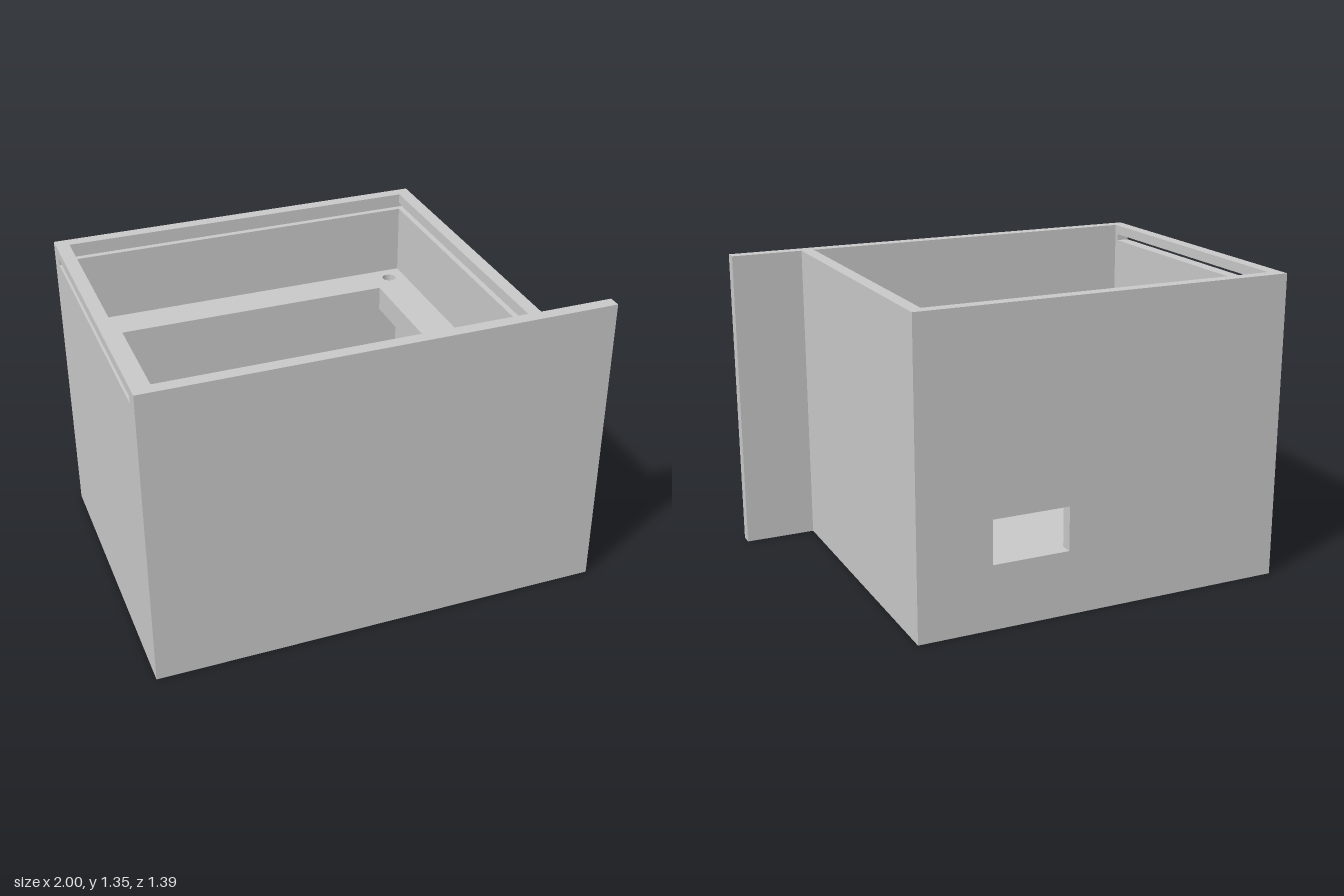
import * as THREE from 'three';

export function createModel() {
  const model = new THREE.Group();
  const grey = new THREE.MeshStandardMaterial({ color: 0xc8c8c8 });
  grey.name = 'plain grey';

  // Closed outline from plan points (x, z), traced counter-clockwise
  const trace = (path, pts) => {
    path.setFromPoints(pts.map(([x, z]) => new THREE.Vector2(x, -z)).reverse());
    path.closePath();
    return path;
  };
  const rect = (x0, z0, x1, z1) => [[x0, z0], [x1, z0], [x1, z1], [x0, z1]];
  const circle = (path, x, z, r) => path.absarc(x, -z, r, 0, Math.PI * 2);

  // Extrude a plan upwards from y0 to y1
  function slab(name, shape, y0, y1) {
    const geo = new THREE.ExtrudeGeometry(shape, { depth: y1 - y0, bevelEnabled: false, curveSegments: 16 });
    geo.rotateX(-Math.PI / 2).translate(0, y0, 0);
    const mesh = new THREE.Mesh(geo, grey);
    mesh.name = name;
    model.add(mesh);
  }

  // Main plan lines: body sides, front panel back face, cavity sides
  const L = -0.995, R = 0.682, B = -0.697, F = 0.697, P = 0.642;
  const iL = -0.937, iR = 0.625, iB = -0.643, iF = 0.641;
  const floorTop = 0.15;

  // Outer plan: box body plus the front panel running past its left side
  const outer = [[L, B], [R, B], [R, P], [1, P], [1, F], [L, F]];
  const inner = rect(iL, iB, iR, iF);

  function wallRing() {
    const s = trace(new THREE.Shape(), outer);
    s.holes.push(trace(new THREE.Path(), inner));
    return s;
  }

  slab('floor', trace(new THREE.Shape(), outer), 0, floorTop);
  slab('lowerWalls', wallRing(), floorTop, 0.285);

  // Walls broken by the connector window in the back
  slab('windowWalls', trace(new THREE.Shape(), [
    [0.355, B], [R, B], [R, P], [1, P], [1, F], [L, F], [L, B], [0.01, B],
    [0.01, iB], [iL, iB], [iL, iF], [iR, iF], [iR, iB], [0.355, iB],
  ]), 0.285, 0.48);

  slab('upperWalls', wallRing(), 0.48, 1.28);

  // Lid groove in the back and left walls, opening through a slot on the right
  slab('grooveWalls', trace(new THREE.Shape(), [
    [L, B], [R, B], [R, P], [1, P], [1, F], [L, F], [L, 0.622],
    [iL, 0.622], [iL, iF], [0.65, iF], [0.65, -0.67], [iL, -0.67], [iL, -0.61], [L, -0.61],
  ]), 1.28, 1.31);

  slab('rim', wallRing(), 1.31, 1.353);

  // Inner shelf with a rectangular opening and corner screw holes
  const shelf = trace(new THREE.Shape(), inner);
  shelf.holes.push(trace(new THREE.Path(), rect(-0.772, -0.48, 0.465, 0.475)));
  for (const x of [-0.859, 0.549]) {
    for (const z of [-0.565, 0.56]) {
      shelf.holes.push(circle(new THREE.Path(), x, z, 0.031));
    }
  }
  slab('shelf', shelf, 0.86, 0.97);

  // Hollow standoffs on the floor
  for (const x of [-0.731, 0.421]) {
    for (const z of [-0.438, 0.434]) {
      const post = circle(new THREE.Shape(), x, z, 0.067);
      post.holes.push(circle(new THREE.Path(), x, z, 0.031));
      slab('standoff', post, floorTop, 0.42);
    }
  }

  return model;
}
